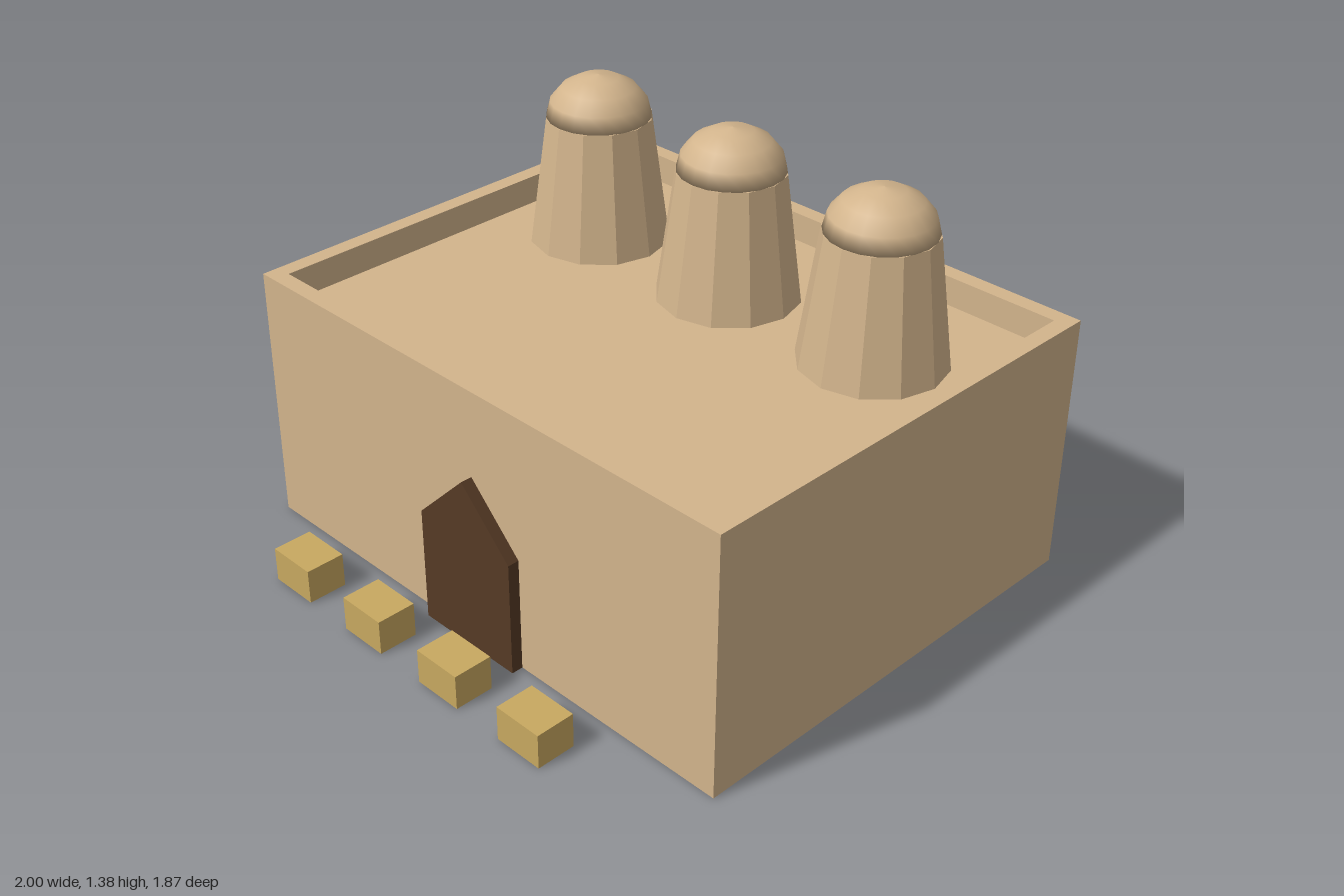
import * as THREE from 'three';

export function createModel() {
  const model = new THREE.Group();
  const sand = new THREE.MeshStandardMaterial({ name: 'sandstone', color: 0xd2b48c });
  const towerSand = sand.clone();
  towerSand.flatShading = true;
  const wood = new THREE.MeshStandardMaterial({ name: 'dark wood', color: 0x553a25 });
  const straw = new THREE.MeshStandardMaterial({ name: 'straw', color: 0xc8a860 });

  const add = (name, geometry, material, x, y, z) => {
    const mesh = new THREE.Mesh(geometry, material);
    mesh.name = name;
    mesh.position.set(x, y, z);
    model.add(mesh);
    return mesh;
  };

  // Building block up to the roof floor
  const W = 2, D = 1.6, floorY = 0.8, wallTop = 0.9, midZ = -0.133;
  add('building', new THREE.BoxGeometry(W, floorY, D), sand, 0, floorY / 2, midZ);

  // Parapet running round the roof
  const rectangle = (Type, w, d) => new Type([
    new THREE.Vector2(-w / 2, -d / 2), new THREE.Vector2(w / 2, -d / 2),
    new THREE.Vector2(w / 2, d / 2), new THREE.Vector2(-w / 2, d / 2),
  ]);
  const rim = rectangle(THREE.Shape, W, D);
  rim.holes.push(rectangle(THREE.Path, W - 0.115, D - 0.115));
  const parapet = new THREE.ExtrudeGeometry(rim, { depth: wallTop - floorY, bevelEnabled: false });
  parapet.rotateX(-Math.PI / 2);
  add('parapet', parapet, sand, 0, floorY, midZ);

  // Tapered twelve-sided towers with flattened domes
  const towerH = 0.44, domeR = 0.176, domeH = 0.142;
  const towerGeometry = new THREE.CylinderGeometry(0.18, 0.24, towerH, 12);
  const profile = [new THREE.Vector2(0, 0)];
  for (let i = 0; i <= 4; i++) {
    const a = (i / 4) * Math.PI / 2;
    profile.push(new THREE.Vector2(i === 4 ? 0 : domeR * Math.cos(a), domeH * Math.sin(a)));
  }
  const domeGeometry = new THREE.LatheGeometry(profile, 20);
  for (const x of [-0.6, 0, 0.6]) {
    add('tower', towerGeometry, towerSand, x, floorY + towerH / 2, -0.433);
    add('dome', domeGeometry, sand, x, floorY + towerH, -0.433);
  }

  // Pointed door on the front wall
  const doorShape = new THREE.Shape([
    [-0.2, 0], [0.2, 0], [0.2, 0.4], [0, 0.6], [-0.2, 0.4],
  ].map(([x, y]) => new THREE.Vector2(x, y)));
  add('door', new THREE.ExtrudeGeometry(doorShape, { depth: 0.04, bevelEnabled: false }),
    wood, 0, 0, midZ + D / 2);

  // Row of small blocks in front
  const blockGeometry = new THREE.BoxGeometry(0.176, 0.12, 0.136);
  for (let i = 0; i < 4; i++) add('block', blockGeometry, straw, -0.6 + i * 0.36, 0.06, 0.865);

  return model;
}
